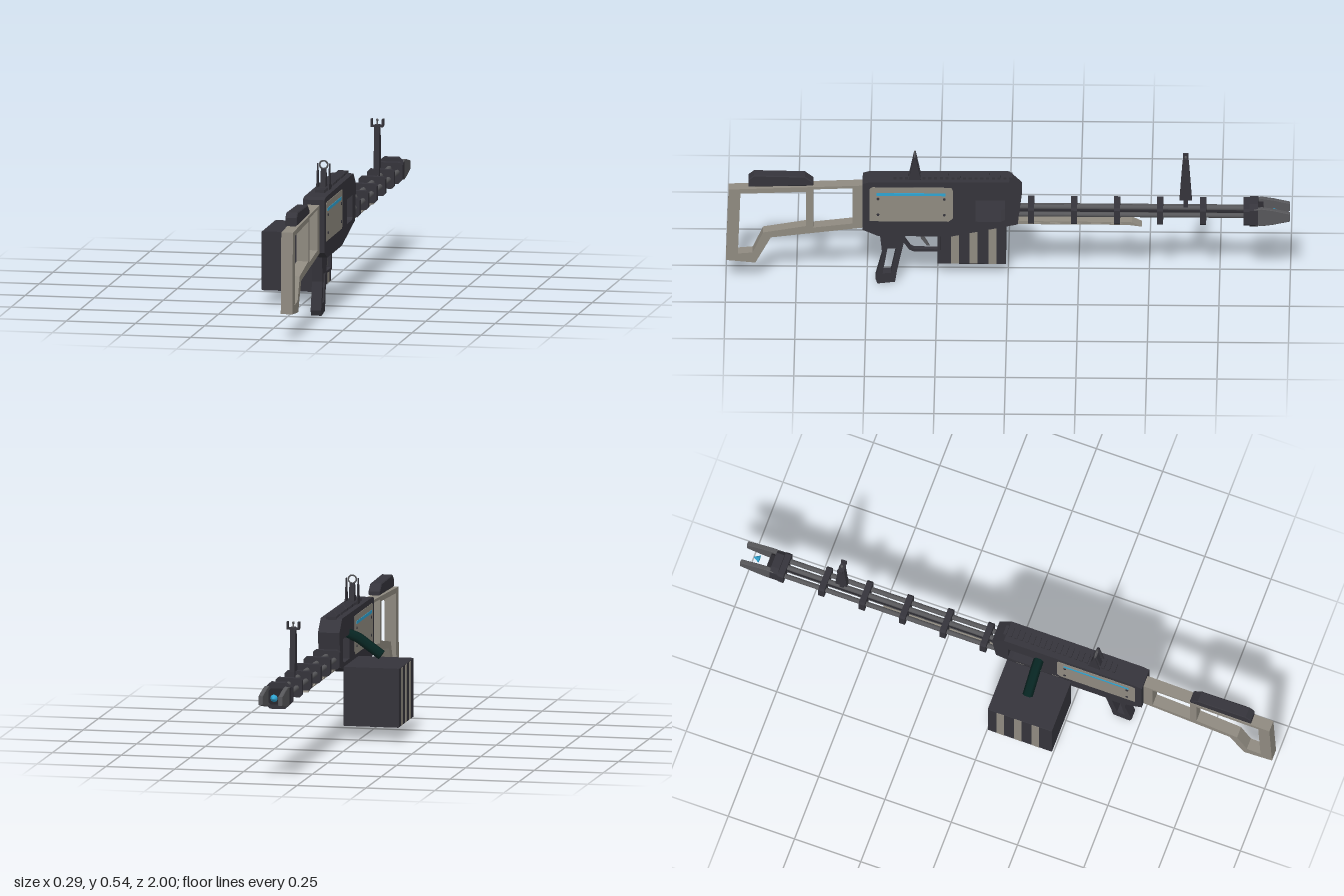
import * as THREE from 'three';

const CX = 0.097; // centre line of the gun body in x

const mat = (name, color, side = THREE.FrontSide) => {
  const m = new THREE.MeshStandardMaterial({ color, side });
  m.name = name;
  return m;
};

export function createModel() {
  const root = new THREE.Group();
  const body = mat('charcoal', 0x35343b);
  const black = mat('near black', 0x29282e);
  const beige = mat('warm grey', 0x8f8a80);
  const steel = mat('barrel steel', 0x57575a);
  const green = mat('dark green', 0x072522, THREE.DoubleSide);
  const cyan = mat('cyan glow', 0x2fa4d2);

  const add = (name, geo, material, x = 0, y = 0, z = 0) => {
    const m = new THREE.Mesh(geo, material);
    m.name = name;
    m.position.set(x, y, z);
    root.add(m);
    return m;
  };
  const box = (name, material, w, h, d, x, y, z) =>
    add(name, new THREE.BoxGeometry(w, h, d), material, x, y, z);

  // Side profile given as [z, y] points, extruded across x around the given centre.
  // Holes run against the outline so that their walls face inwards.
  const toVec = pts => pts.map(([z, y]) => new THREE.Vector2(-z, y));
  const side = (name, material, pts, width, x = CX, holes = [], bevel = 0) => {
    const s = new THREE.Shape(toVec(pts));
    holes.forEach(h => s.holes.push(new THREE.Path(toVec(h).reverse())));
    const g = new THREE.ExtrudeGeometry(s, {
      depth: width - 2 * bevel, bevelEnabled: bevel > 0, bevelSize: bevel,
      bevelThickness: bevel, bevelOffset: -bevel, bevelSegments: 1,
    });
    g.translate(0, 0, -width / 2 + bevel).rotateY(Math.PI / 2);
    return add(name, g, material, x);
  };

  // Cylinder running along z
  const rod = (name, material, r0, r1, len, x, y, z, n = 10) =>
    add(name, new THREE.CylinderGeometry(r1, r0, len, n).rotateX(-Math.PI / 2), material, x, y, z);

  // Skeleton stock with two openings, and its cheek rest
  side('stock', beige,
    [[0.99, 0.387], [0.50, 0.408], [0.50, 0.235], [0.84, 0.19], [0.895, 0.085], [1.0, 0.095]],
    0.042, CX,
    [[[0.948, 0.37], [0.715, 0.38], [0.715, 0.238], [0.868, 0.21], [0.905, 0.127], [0.957, 0.122]],
      [[0.69, 0.39], [0.55, 0.396], [0.55, 0.25], [0.69, 0.232]]]);
  side('cheekRest', body,
    [[0.92, 0.398], [0.92, 0.428], [0.9, 0.445], [0.72, 0.442], [0.69, 0.418], [0.69, 0.404]],
    0.042, CX, [], 0.003);

  // Receiver with its through window
  side('receiver', body,
    [[0.515, 0.425], [0.49, 0.432], [-0.005, 0.435], [-0.05, 0.39], [-0.035, 0.262],
      [0.2, 0.21], [0.46, 0.21], [0.515, 0.235]],
    0.078, CX,
    [[[0.115, 0.36], [0.01, 0.36], [0.01, 0.28], [0.025, 0.272], [0.115, 0.272]]]);

  // Nearly flush side plates with a light strip and four screws each
  for (const s of [-1, 1]) {
    side('sidePlate', beige,
      [[0.49, 0.405], [0.48, 0.412], [0.2, 0.412], [0.195, 0.4], [0.195, 0.285], [0.21, 0.272],
        [0.49, 0.272]], 0.004, CX + s * 0.0385);
    box('lightStrip', cyan, 0.003, 0.011, 0.245, CX + s * 0.0405, 0.384, 0.343);
    for (const z of [0.46, 0.225]) for (const y of [0.3, 0.365])
      add('plateScrew', new THREE.CylinderGeometry(0.005, 0.005, 0.004, 8).rotateZ(Math.PI / 2),
        body, CX + s * 0.041, y, z);
  }

  // Low toothed top rail
  for (let i = 0; i < 21; i++)
    box('railTooth', body, 0.036, 0.012, 0.011, CX, 0.437, 0.4 - i * 0.0205);

  // Rear ring sight on a tapering stem between two pointed wings
  side('rearSightStem', body,
    [[0.35, 0.43], [0.344, 0.46], [0.334, 0.508], [0.326, 0.508], [0.316, 0.46], [0.31, 0.43]],
    0.019, CX - 0.001);
  add('rearSightRing', new THREE.TorusGeometry(0.0145, 0.003, 6, 20), steel, CX - 0.001, 0.521, 0.33);
  for (const s of [-1, 1]) {
    side('rearSightWing', body,
      [[0.352, 0.43], [0.333, 0.525], [0.327, 0.525], [0.308, 0.43]], 0.004, CX - 0.001 + s * 0.0215);
  }

  // Front sight: one tapering stem carrying a small fork and a bead
  side('frontSightStem', body,
    [[-0.608, 0.348], [-0.619, 0.505], [-0.641, 0.505], [-0.652, 0.348]], 0.019, CX - 0.001);
  box('frontSightFoot', body, 0.014, 0.05, 0.016, CX, 0.333, -0.63);
  box('frontSightFork', body, 0.045, 0.006, 0.02, CX - 0.001, 0.5, -0.63);
  for (const s of [-1, 1])
    box('frontSightProng', body, 0.006, 0.025, 0.02, CX - 0.001 + s * 0.0205, 0.5125, -0.63);
  box('frontSightPost', steel, 0.004, 0.018, 0.004, CX - 0.001, 0.511, -0.63);
  add('frontSightBead', new THREE.SphereGeometry(0.005, 10, 8), steel, CX - 0.001, 0.521, -0.63);

  // Barrel cluster
  for (const [dx, dy] of [[-0.029, 0], [0.029, 0], [0, 0.013], [0, -0.013]])
    rod('barrel', steel, 0.009, 0.009, 0.87, CX + dx, 0.3 + dy, -0.445);
  rod('barrelCore', black, 0.011, 0.011, 0.86, CX, 0.3, -0.44, 8);

  // Octagonal clamps around the barrels
  const clamp = (name, w, h, c, len, z, m) => {
    const pts = [[w - c, -h], [w, c - h], [w, h - c], [w - c, h], [c - w, h], [-w, h - c], [-w, c - h], [c - w, -h]];
    const g = new THREE.ExtrudeGeometry(new THREE.Shape(pts.map(p => new THREE.Vector2(...p))),
      { depth: len, bevelEnabled: false });
    add(name, g, m, CX, 0.3, z - len / 2);
  };
  for (let i = 0; i < 5; i++) clamp('barrelClamp', 0.048, 0.034, 0.008, 0.022, -0.082 - i * 0.1525, body);

  // Muzzle: collar, two converging prongs and a glowing tip
  clamp('muzzleClamp', 0.048, 0.034, 0.008, 0.022, -0.846, body);
  clamp('muzzleCollar', 0.045, 0.047, 0.018, 0.03, -0.872, body);
  clamp('muzzleCore', 0.033, 0.028, 0.012, 0.02, -0.895, black);
  for (const s of [-1, 1])
    side('muzzleProng', steel,
      [[-0.86, 0.27], [-0.86, 0.33], [-0.9, 0.336], [-0.94, 0.33], [-1, 0.316], [-1, 0.284],
        [-0.94, 0.27], [-0.9, 0.264]], 0.016, CX + s * 0.036, [], 0.002);
  rod('glowTip', cyan, 0.014, 0.001, 0.022, CX, 0.3, -0.952, 8);

  // Thin slotted plate below the barrels, ending in a point
  const slots = [];
  for (let i = 0; i < 5; i++) {
    const z = -0.07 - i * 0.072;
    slots.push([[z, 0.2615], [z - 0.05, 0.2605], [z - 0.042, 0.2545], [z - 0.008, 0.2545]]);
  }
  side('lowerGuard', beige,
    [[-0.03, 0.265], [-0.44, 0.263], [-0.475, 0.245], [-0.425, 0.252], [-0.03, 0.252]], 0.04, CX, slots);

  // Ammunition box with stripes on both sides
  side('ammoBox', body, [[0.25, 0.048], [0.25, 0.26], [0.008, 0.26], [0.008, 0.048]], 0.202, -0.044, [], 0.002);
  for (const x of [-0.1445, 0.0565]) for (const z of [0.188, 0.122, 0.055])
    box('ammoStripe', beige, 0.003, 0.207, 0.028, x, 0.154, z);

  // Six-sided bent feed tube
  const bend = new THREE.CurvePath();
  const P = (x, y) => new THREE.Vector3(x, y, 0.126);
  bend.add(new THREE.LineCurve3(P(-0.056, 0.287), P(0.016, 0.338)));
  bend.add(new THREE.QuadraticBezierCurve3(P(0.016, 0.338), P(0.023, 0.344), P(0.034, 0.349)));
  bend.add(new THREE.LineCurve3(P(0.034, 0.349), P(0.075, 0.364)));
  add('feedTube', new THREE.TubeGeometry(bend, 14, 0.019, 6, false), green);
  const cap = add('feedTubeCap', new THREE.CircleGeometry(0.019, 6), green, -0.056, 0.287, 0.126);
  cap.lookAt(-0.126, 0.237, 0.126);

  // Pistol grip with a slot
  side('grip', body,
    [[0.455, 0.215], [0.36, 0.215], [0.368, 0.175], [0.392, 0.06], [0.4, 0.008], [0.462, 0.0],
      [0.47, 0.02], [0.445, 0.12]], 0.038, CX - 0.001,
    [[[0.427, 0.145], [0.395, 0.145], [0.415, 0.045], [0.444, 0.042]]]);

  // Trigger guard and trigger
  side('triggerGuard', body,
    [[0.378, 0.178], [0.35, 0.137], [0.335, 0.13], [0.24, 0.13], [0.24, 0.215], [0.25, 0.215],
      [0.25, 0.139], [0.332, 0.139], [0.345, 0.146], [0.372, 0.188]], 0.02);
  side('trigger', steel,
    [[0.315, 0.215], [0.298, 0.215], [0.297, 0.185], [0.278, 0.15], [0.288, 0.152], [0.308, 0.18]], 0.01);

  return root;
}
